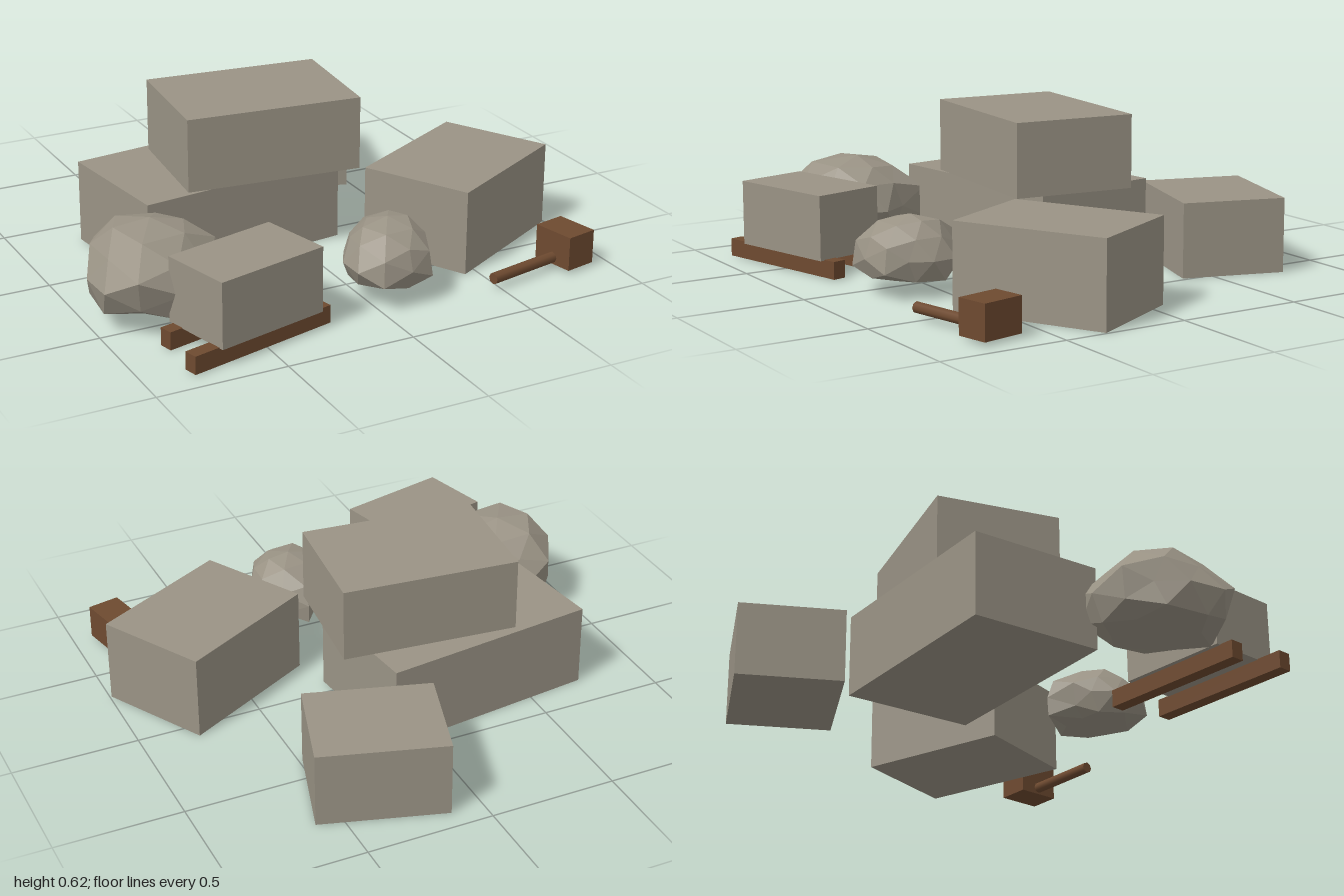
import * as THREE from 'three';
import { mergeVertices } from 'three/addons/utils/BufferGeometryUtils.js';

const stone = new THREE.MeshStandardMaterial({ color: 0x9a9385 });
stone.name = 'stone';
const wood = new THREE.MeshStandardMaterial({ color: 0x6e4a30 });
wood.name = 'wood';

// Small seeded generator for the rock facets
function seeded(seed) {
  let s = seed;
  return () => (s = (s * 16807) % 2147483647) / 2147483647;
}

// Box turned about y, standing on height y0
function block(name, material, [w, h, d], [x, y0, z], turn = 0) {
  const mesh = new THREE.Mesh(new THREE.BoxGeometry(w, h, d), material);
  mesh.name = name;
  mesh.position.set(x, y0 + h / 2, z);
  mesh.rotation.y = turn;
  return mesh;
}

// Faceted boulder: a sphere bent to an outline (one radius every 30 degrees) with a flat base
function boulder(name, radii, [x, y, z], height, base, seed) {
  const random = seeded(seed);
  let geo = new THREE.IcosahedronGeometry(1, 1);
  geo.deleteAttribute('normal');
  geo.deleteAttribute('uv');
  geo = mergeVertices(geo, 1e-3);
  const pos = geo.attributes.position;
  for (let i = 0; i < pos.count; i++) {
    const px = pos.getX(i), py = pos.getY(i), pz = pos.getZ(i);
    const a = ((Math.atan2(pz, px) / (Math.PI * 2) + 1) % 1) * radii.length;
    const k = Math.floor(a) % radii.length;
    const r = THREE.MathUtils.lerp(radii[k], radii[(k + 1) % radii.length], a - Math.floor(a));
    const bump = 0.92 + random() * 0.18;
    const lift = 0.86 + random() * 0.16;
    pos.setXYZ(i, px * r * bump, Math.max(base - y, py * height * lift), pz * r * bump);
  }
  geo = geo.toNonIndexed();
  geo.computeVertexNormals();
  const mesh = new THREE.Mesh(geo, stone);
  mesh.name = name;
  mesh.position.set(x, y, z);
  return mesh;
}

export function createModel() {
  const model = new THREE.Group();
  model.name = 'stonePile';

  // Cut stone blocks
  model.add(
    block('backBlock', stone, [0.497, 0.295, 0.414], [0.305, 0, -0.65], -0.296),
    block('baseBlock', stone, [0.866, 0.33, 0.534], [-0.27, 0, -0.138], 0.122),
    block('topBlock', stone, [0.699, 0.29, 0.495], [-0.108, 0.33, -0.075], -0.1),
    block('sideBlock', stone, [0.62, 0.335, 0.457], [0.612, 0, 0.278], 0.496),
    block('sledBlock', stone, [0.464, 0.255, 0.296], [-0.52, 0.07, 0.711], 0.246)
  );

  // Wooden runners under the small block
  for (const side of [-1, 1]) {
    model.add(block(side < 0 ? 'backRunner' : 'frontRunner', wood,
      [0.625, 0.07, 0.055], [-0.52, 0.003, 0.711 + side * 0.105], 0.246));
  }

  // Rough boulders
  model.add(
    boulder('largeBoulder',
      [0.25, 0.26, 0.27, 0.275, 0.29, 0.265, 0.255, 0.235, 0.25, 0.25, 0.265, 0.225],
      [-0.745, 0.18, 0.38], 0.21, 0.07, 41),
    boulder('smallBoulder',
      [0.175, 0.16, 0.19, 0.205, 0.21, 0.2, 0.19, 0.165, 0.155, 0.225, 0.185, 0.185],
      [0.11, 0.15, 0.61], 0.165, 0.068, 97)
  );

  // Mallet lying on the ground
  const mallet = new THREE.Group();
  mallet.name = 'mallet';
  mallet.position.set(0.842, 0, 0.708);
  mallet.rotation.y = 0.21;
  mallet.add(block('malletHead', wood, [0.13, 0.135, 0.175], [0, 0.015, 0]));
  const handle = new THREE.Mesh(new THREE.CylinderGeometry(0.022, 0.022, 0.34, 8), wood);
  handle.name = 'malletHandle';
  handle.rotation.z = Math.PI / 2;
  handle.position.set(-0.21, 0.043, 0);
  mallet.add(handle);
  model.add(mallet);

  return model;
}
